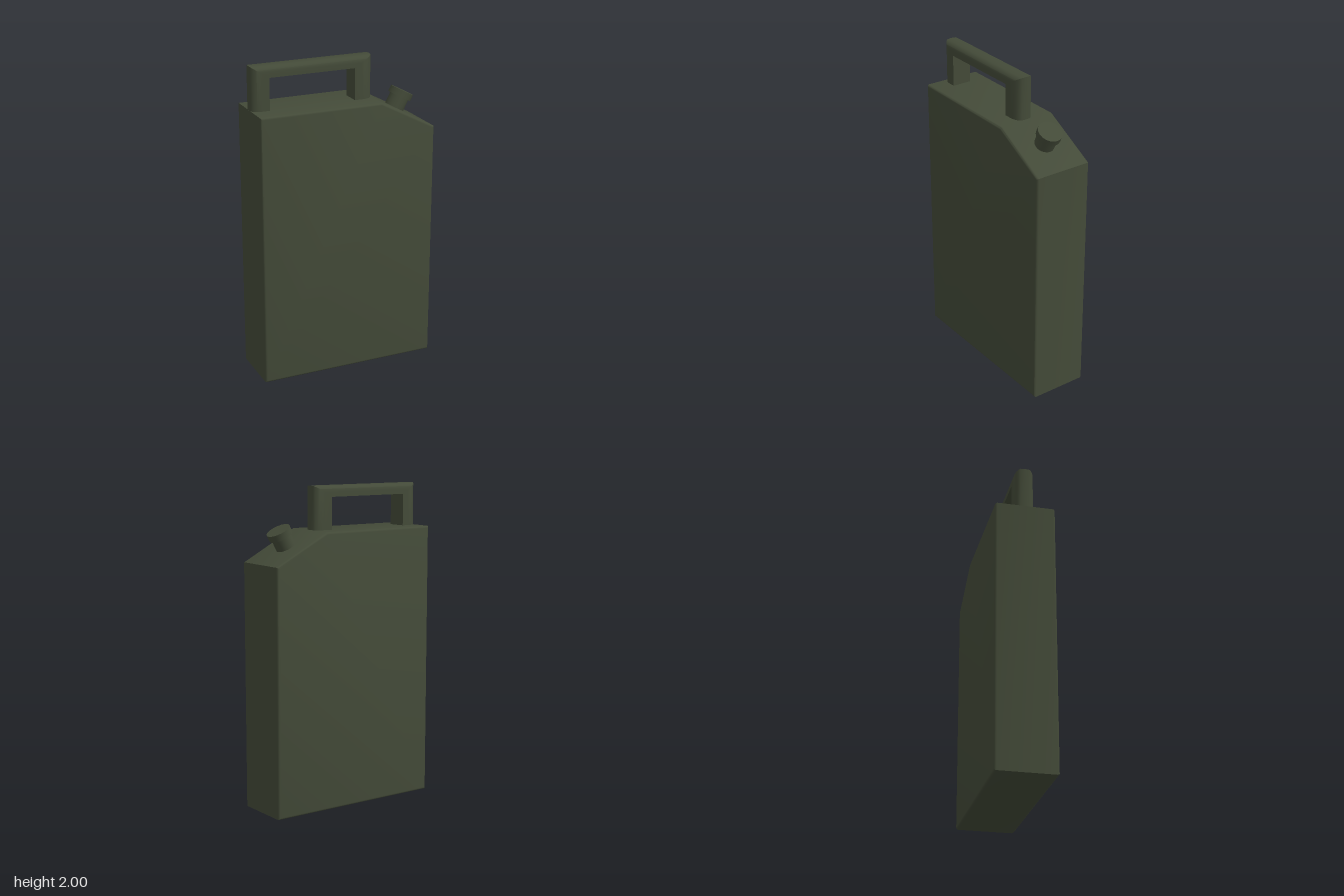
import * as THREE from 'three';
import { toCreasedNormals } from 'three/addons/utils/BufferGeometryUtils.js';

const paint = new THREE.MeshStandardMaterial({ color: 0x434a38 });

function addPart(parent, name, geometry) {
  const mesh = new THREE.Mesh(toCreasedNormals(geometry, 0.6), paint);
  mesh.name = name;
  parent.add(mesh);
  return mesh;
}

// Flat can with a sloped shoulder and softly bevelled edges
function bodyGeometry() {
  const bevel = 0.015, halfDepth = 0.19;
  const outline = [[-0.575, 0], [0.575, 0], [0.575, 1.54], [0.215, 1.73], [-0.575, 1.73]];
  const shape = new THREE.Shape(outline.map(([x, y]) => new THREE.Vector2(x, y)));
  const geometry = new THREE.ExtrudeGeometry(shape, {
    depth: 2 * (halfDepth - bevel),
    bevelSize: bevel, bevelThickness: bevel, bevelOffset: -bevel, bevelSegments: 3,
  });
  return geometry.translate(0, 0, bevel - halfDepth);
}

// Mitred arch: flat inner side (t = 0), rounded outer side (t = 1)
function handleGeometry() {
  const halfWidth = 0.062, arcSteps = 6, foot = 1.71;
  const section = [[0, halfWidth]];
  for (let side = 0; side < 2; side++) {
    for (let i = 0; i <= arcSteps; i++) {
      const a = (side + i / arcSteps) * Math.PI / 2;
      const c = Math.cos(a);
      section.push([0.4 + 0.6 * Math.sin(a), Math.sign(c) * 0.018 * (Math.abs(c) > 1e-6 ? 1 : 0) + 0.044 * c]);
    }
  }
  section.push([0, -halfWidth]);

  const lerp = THREE.MathUtils.lerp;
  const positions = [], indices = [], n = section.length;
  for (let ring = 0; ring < 4; ring++) {
    for (const [t, z] of section) {
      const x = ring < 2 ? lerp(-0.465, -0.575, t) : lerp(0.09, 0.21, t);
      const y = ring === 0 || ring === 3 ? foot : lerp(1.93, 2, t);
      positions.push(x, y, z);
    }
  }
  for (let ring = 0; ring < 3; ring++) {
    for (let i = 0; i < n; i++) {
      const a = ring * n + i, b = ring * n + (i + 1) % n;
      indices.push(a, a + n, b, b, a + n, b + n);
    }
  }
  const geometry = new THREE.BufferGeometry();
  geometry.setAttribute('position', new THREE.Float32BufferAttribute(positions, 3));
  geometry.setIndex(indices);
  geometry.computeVertexNormals();
  return geometry;
}

export function createModel() {
  const model = new THREE.Group();
  model.name = 'fuelCan';
  addPart(model, 'body', bodyGeometry());
  addPart(model, 'handle', handleGeometry());

  // Spout stands square to the sloped shoulder
  const spout = new THREE.Group();
  spout.name = 'spout';
  spout.position.set(0.39, 1.638, 0);
  spout.rotation.z = -Math.atan2(0.19, 0.36);
  model.add(spout);
  addPart(spout, 'neck', new THREE.CylinderGeometry(0.062, 0.062, 0.11, 20)).position.y = 0.035;
  addPart(spout, 'cap', new THREE.CylinderGeometry(0.076, 0.076, 0.042, 20)).position.y = 0.094;
  return model;
}
